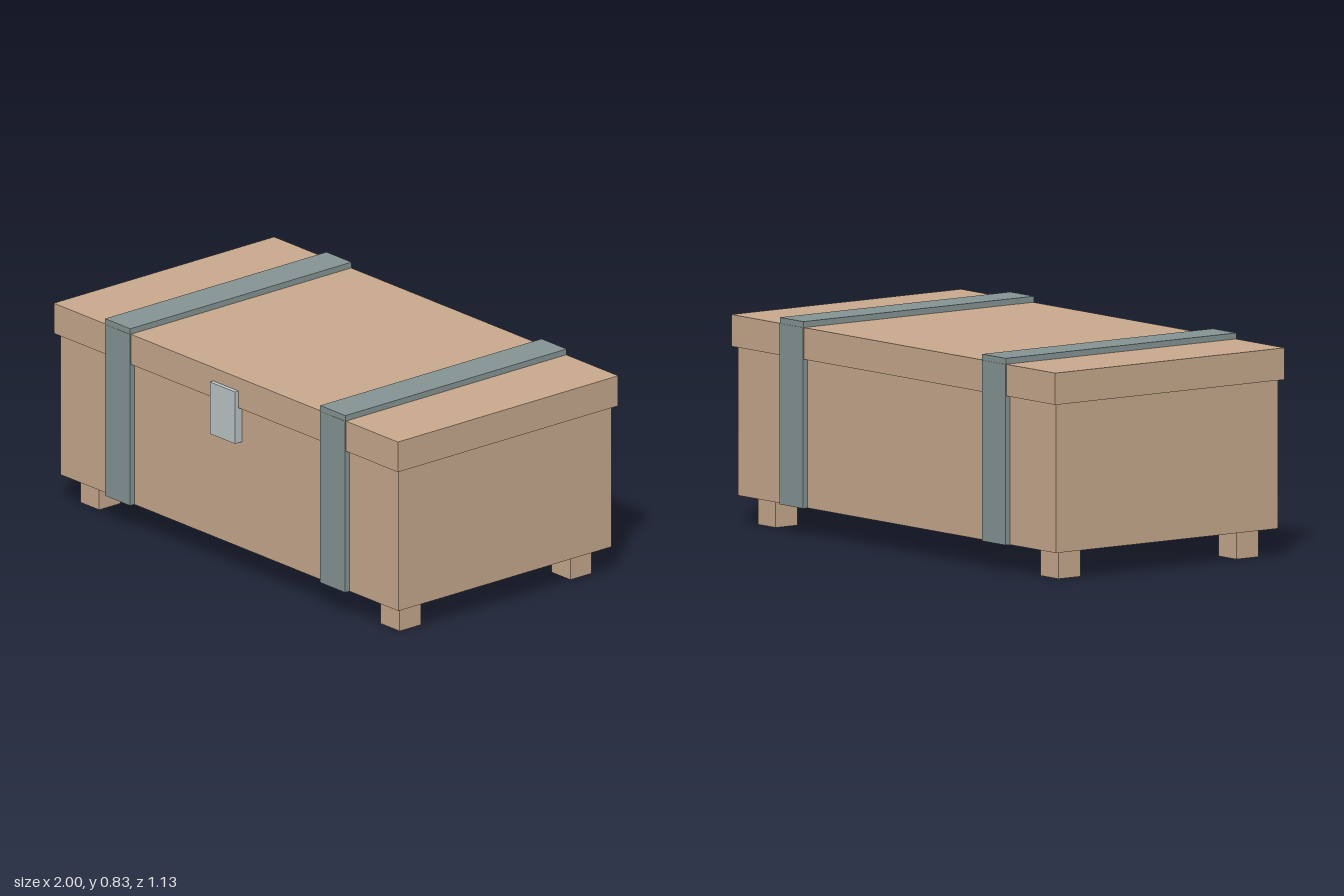
import * as THREE from 'three';

const wood = new THREE.MeshStandardMaterial({ name: 'wood', color: 0xc9aa8e });
const strapMetal = new THREE.MeshStandardMaterial({ name: 'strapMetal', color: 0x869695 });
const latchMetal = new THREE.MeshStandardMaterial({ name: 'latchMetal', color: 0xbec7ca });

// Box given by its lower and upper limits on each axis
function block(name, material, [x0, x1], [y0, y1], [z0, z1]) {
  const mesh = new THREE.Mesh(new THREE.BoxGeometry(x1 - x0, y1 - y0, z1 - z0), material);
  mesh.position.set((x0 + x1) / 2, (y0 + y1) / 2, (z0 + z1) / 2);
  mesh.name = name;
  return mesh;
}

export function createModel() {
  const chest = new THREE.Group();
  chest.name = 'chest';

  // Body and overhanging lid
  chest.add(block('body', wood, [-0.982, 0.982], [0.11, 0.682], [-0.541, 0.529]));
  chest.add(block('lid', wood, [-1, 1], [0.682, 0.804], [-0.559, 0.547]));

  // Latch across the lid seam
  chest.add(block('latch', latchMetal, [-0.073, 0.073], [0.54, 0.75], [0.529, 0.564]));

  for (const side of [-1, 1]) {
    // Strap wrapping front, top and back
    const strap = new THREE.Group();
    strap.name = side > 0 ? 'leftStrap' : 'rightStrap';
    const width = [-0.073, 0.073];
    strap.add(block('strapFront', strapMetal, width, [0.11, 0.804], [0.529, 0.551]));
    strap.add(block('strapBack', strapMetal, width, [0.11, 0.804], [-0.563, -0.541]));
    strap.add(block('strapTop', strapMetal, width, [0.804, 0.827], [-0.561, 0.55]));
    strap.position.x = side * 0.625;
    chest.add(strap);

    // Feet
    const footX = [side * 0.873 - 0.055, side * 0.873 + 0.055];
    chest.add(block('frontFoot', wood, footX, [0, 0.11], [0.37, 0.476]));
    chest.add(block('backFoot', wood, footX, [0, 0.11], [-0.487, -0.381]));
  }
  return chest;
}
